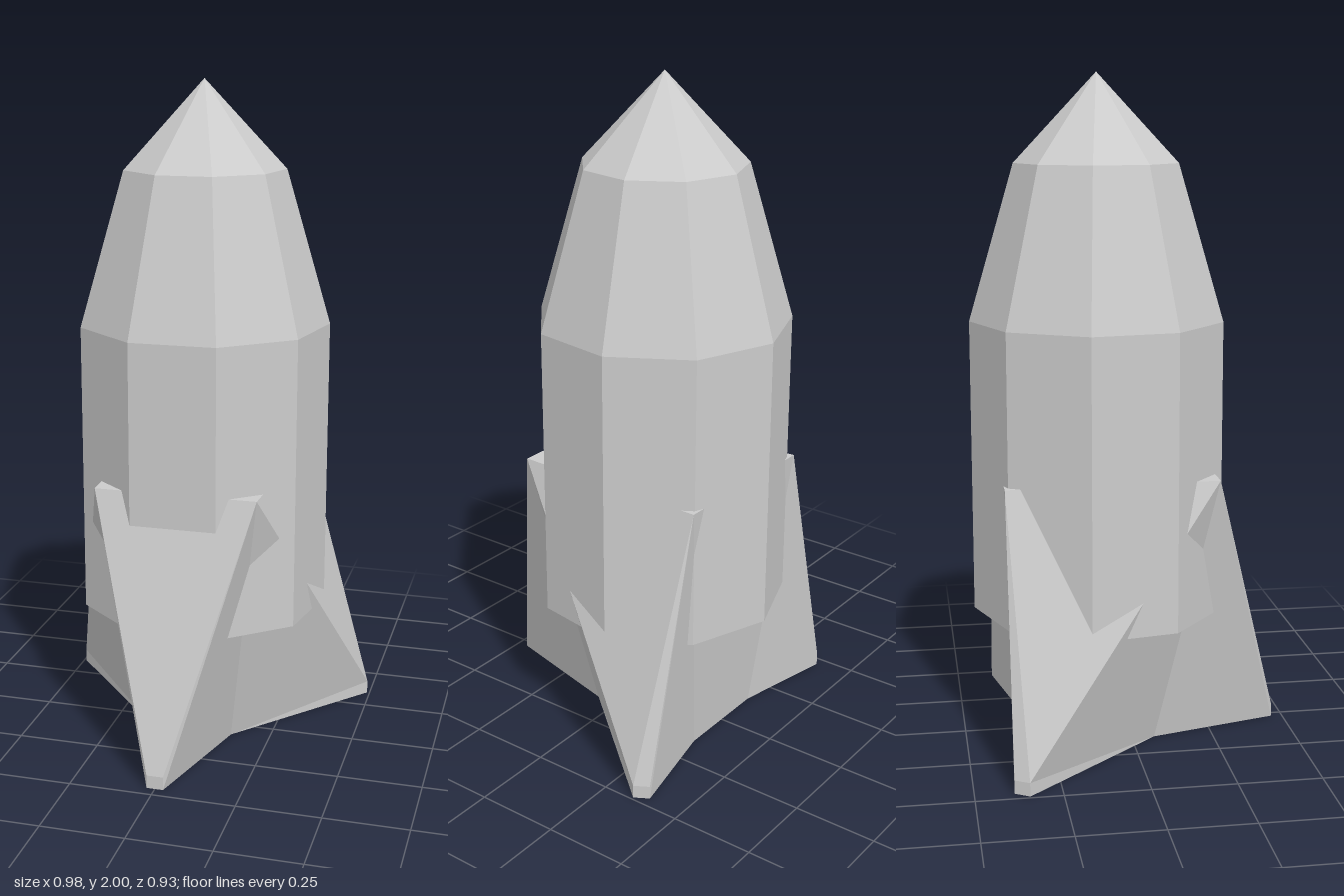
import * as THREE from 'three';

const CENTRE_Z = -0.085;

// Nine-sided hull with a pointed nose, one corner facing straight back
function makeHull(material) {
  const profile = [[0, 0.4], [0.38, 0.4], [0.38, 1.28], [0.245, 1.74], [0, 2]]
    .map(([r, y]) => new THREE.Vector2(r, y));
  const hull = new THREE.Mesh(new THREE.LatheGeometry(profile, 9, Math.PI), material);
  hull.position.z = CENTRE_Z;
  hull.name = 'hull';
  return hull;
}

// Three-finned base: star-shaped foot rising to a square top inside the hull
function makeFinBase(material) {
  const step = 0.04, top = 0.83;
  const front = [0.025, 0, 0.465], frontUp = [0.025, step, 0.465];
  const frontMid = [0, 0, 0.465], frontMidUp = [0, step, 0.465];
  const valley = [0.13, 0, 0.07];
  const side = [0.492, 0, -0.345], sideUp = [0.492, step, -0.345];
  const back = [0.467, 0, -0.387], backUp = [0.467, step, -0.387];
  const backValley = [0.15, 0, -0.32], backMid = [0, 0, -0.32];
  const topFront = [0.245, top, 0.245], topFrontMid = [0, top, 0.245];
  const topBack = [0.265, top, -0.387], topBackMid = [0, top, -0.387];

  // Faces of the +x half, counter-clockwise from outside
  const faces = [
    [frontMid, front, frontUp, frontMidUp],
    [frontMidUp, frontUp, topFront, topFrontMid],   // front fin outer face
    [front, valley, topFront, frontUp],             // front fin flank
    [valley, side, sideUp, topFront],               // rear fin front flank
    [side, back, backUp, sideUp],
    [sideUp, backUp, topBack, topFront],            // rear fin outer face
    [back, backValley, topBack, backUp],            // rear fin back flank
    [backValley, backMid, topBackMid, topBack],
    [topFrontMid, topFront, topBack, topBackMid],
  ];
  // Underside fan
  const foot = [frontMid, front, valley, side, back, backValley, backMid];
  for (let i = 0; i < foot.length - 1; i++) {
    faces.push([[0, 0, CENTRE_Z], foot[i + 1], foot[i]]);
  }

  // Triangulate each face and mirror it to the -x half
  const positions = [];
  const mirror = ([x, y, z]) => [-x, y, z];
  for (const face of faces) {
    for (let i = 1; i < face.length - 1; i++) {
      const [a, b, c] = [face[0], face[i], face[i + 1]];
      positions.push(...a, ...b, ...c, ...mirror(a), ...mirror(c), ...mirror(b));
    }
  }
  const geometry = new THREE.BufferGeometry();
  geometry.setAttribute('position', new THREE.Float32BufferAttribute(positions, 3));
  geometry.computeVertexNormals();
  const base = new THREE.Mesh(geometry, material);
  base.name = 'finBase';
  return base;
}

export function createModel() {
  const group = new THREE.Group();
  group.name = 'rocket';
  const material = new THREE.MeshStandardMaterial({ color: 0xcccccc, flatShading: true });
  group.add(makeHull(material), makeFinBase(material));
  return group;
}
